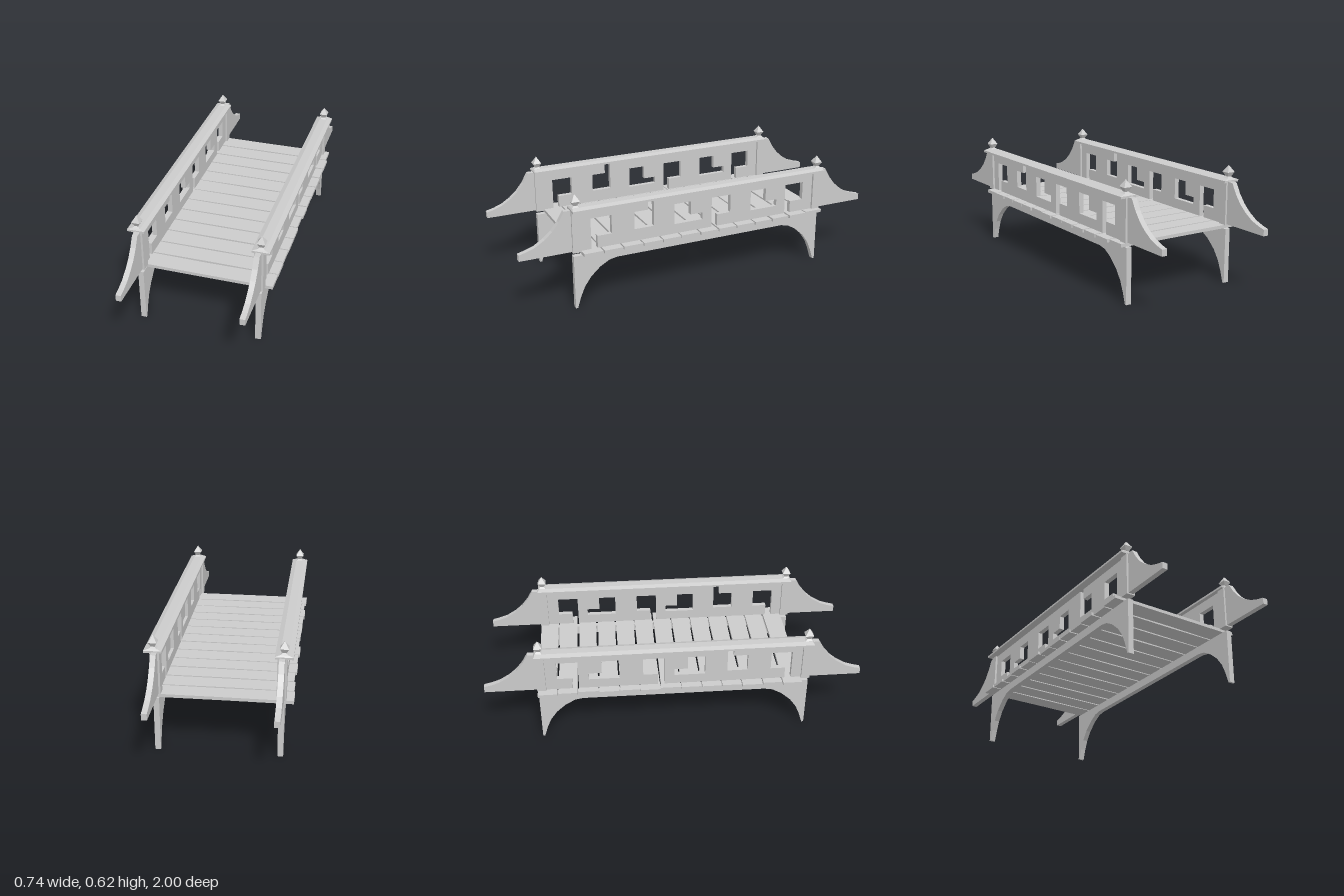
import * as THREE from 'three';

const material = new THREE.MeshStandardMaterial({ color: 0xcccccc, flatShading: true });

function add(parent, name, geometry, x = 0, y = 0, z = 0) {
  const mesh = new THREE.Mesh(geometry, material);
  mesh.name = name;
  mesh.position.set(x, y, z);
  parent.add(mesh);
  return mesh;
}

// Extrudes a (z, y) outline to a thickness centred on the given x
function sideSlab(points, thickness, x) {
  const shape = new THREE.Shape(points.map(([z, y]) => new THREE.Vector2(-z, y)));
  const geometry = new THREE.ExtrudeGeometry(shape, { depth: thickness, bevelEnabled: false });
  geometry.translate(0, 0, -thickness / 2);
  geometry.rotateY(Math.PI / 2);
  return geometry.translate(x, 0, 0);
}

// Four-sided tapering block, square to the axes
function taper(topHalf, bottomHalf, height) {
  return new THREE.CylinderGeometry(topHalf * Math.SQRT2, bottomHalf * Math.SQRT2, height, 4)
    .rotateY(Math.PI / 4);
}

// Fretwork outlines in panel units: u runs from front to back, y is height
const W = 0.226, LOW = 0.315, HIGH = 0.538;
const fretPanels = {
  // window with a slot running down
  down: [[[0, LOW], [0, HIGH], [W, HIGH], [W, LOW], [0.088, LOW], [0.088, 0.38], [0.166, 0.38],
    [0.166, 0.48], [0.054, 0.48], [0.054, LOW]]],
  // window with a slot running up
  up: [[[0, LOW], [W, LOW], [W, HIGH], [0.172, HIGH], [0.172, 0.38], [0.064, 0.38],
    [0.064, 0.475], [0.14, 0.475], [0.14, HIGH], [0, HIGH]]],
  // window with a slot running to the back
  across: [[[0, LOW], [W, LOW], [W, 0.368], [0.064, 0.368], [0.064, 0.48], [0.157, 0.48],
    [0.157, 0.406], [W, 0.406], [W, HIGH], [0, HIGH]]],
};
const panelOrder = ['down', 'up', 'across', 'down', 'across', 'down'];

function buildRailing(side) {
  const railing = new THREE.Group();
  railing.name = side > 0 ? 'leftRailing' : 'rightRailing';
  const x = side * 0.309, capX = side * 0.318;

  panelOrder.forEach((kind, i) => {
    const front = 0.678 - i * W;
    const outline = fretPanels[kind][0].map(([u, y]) => [front - u, y]);
    add(railing, 'fretPanel', sideSlab(outline, 0.026, x));
  });

  // Handrail with a shallow hipped top
  add(railing, 'handrail', new THREE.BoxGeometry(0.09, 0.011, 1.454), capX, 0.5405, 0);
  const hip = new THREE.BoxGeometry(0.09, 0.009, 1.454);
  const p = hip.attributes.position;
  for (let i = 0; i < p.count; i++) {
    if (p.getY(i) > 0) {
      p.setX(i, Math.sign(p.getX(i)) * 0.021);
      p.setZ(i, Math.sign(p.getZ(i)) * 0.72);
    }
  }
  add(railing, 'handrailTop', hip, capX, 0.5505, 0);

  for (const end of [1, -1]) {
    add(railing, 'post', new THREE.BoxGeometry(0.048, 0.224, 0.047), x, 0.424, end * 0.702);

    // Pointed finial on a flared foot
    const finial = new THREE.Group();
    finial.name = 'finial';
    finial.position.set(capX, 0, end * 0.702);
    add(finial, 'finialFoot', taper(0.009, 0.02, 0.009), 0, 0.5585, 0);
    add(finial, 'finialLower', taper(0.022, 0.009, 0.024), 0, 0.574, 0);
    add(finial, 'finialPoint', taper(0, 0.022, 0.036), 0, 0.604, 0);
    railing.add(finial);

    // Sweeping end wing
    const sweep = [[0.72, 0.318], [0.72, 0.54], [0.76, 0.54], [0.79, 0.487], [0.825, 0.443],
      [0.865, 0.408], [0.915, 0.377], [0.96, 0.361], [1, 0.351], [1, 0.318]];
    add(railing, 'endWing', sideSlab(sweep.map(([z, y]) => [end * z, y]), 0.028, x));
  }
  return railing;
}

// Arched support beam, mirrored front to back
function buildArch(side) {
  const half = [[0.72, 0.29], [0.72, 0], [0.709, 0], [0.69, 0.06], [0.668, 0.112], [0.632, 0.163],
    [0.58, 0.21], [0.53, 0.238], [0.487, 0.246]];
  const outline = [...half, ...half.map(([z, y]) => [-z, y]).reverse()];
  return sideSlab(outline, 0.029, side * 0.309);
}

// Hand-cut deck planks, slightly waisted and uneven
function buildDeck() {
  const deck = new THREE.Group();
  deck.name = 'deck';
  let seed = 7;
  const rand = () => (seed = (seed * 16807) % 2147483647) / 2147483647;
  for (let i = 0; i < 13; i++) {
    const z = -0.673 + i * 0.1085;
    const left = 0.358 + rand() * 0.013, right = 0.358 + rand() * 0.013;
    const edge = () => 0.0535 - rand() * 0.005;
    const waist = () => 0.047 + rand() * 0.004;
    const shape = new THREE.Shape([
      [-right, -edge()], [0, -waist()], [left, -edge()],
      [left, edge()], [0, waist()], [-right, edge()],
    ].map(([a, b]) => new THREE.Vector2(a, b)));
    const plank = new THREE.ExtrudeGeometry(shape, { depth: 0.017, bevelEnabled: false });
    plank.rotateX(-Math.PI / 2);
    add(deck, 'plank', plank, 0, 0.298, z);
  }
  return deck;
}

export function createModel() {
  const bridge = new THREE.Group();
  bridge.name = 'footbridge';
  bridge.add(buildDeck());
  for (const side of [1, -1]) {
    bridge.add(buildRailing(side));
    add(bridge, side > 0 ? 'leftArch' : 'rightArch', buildArch(side));
  }
  return bridge;
}
